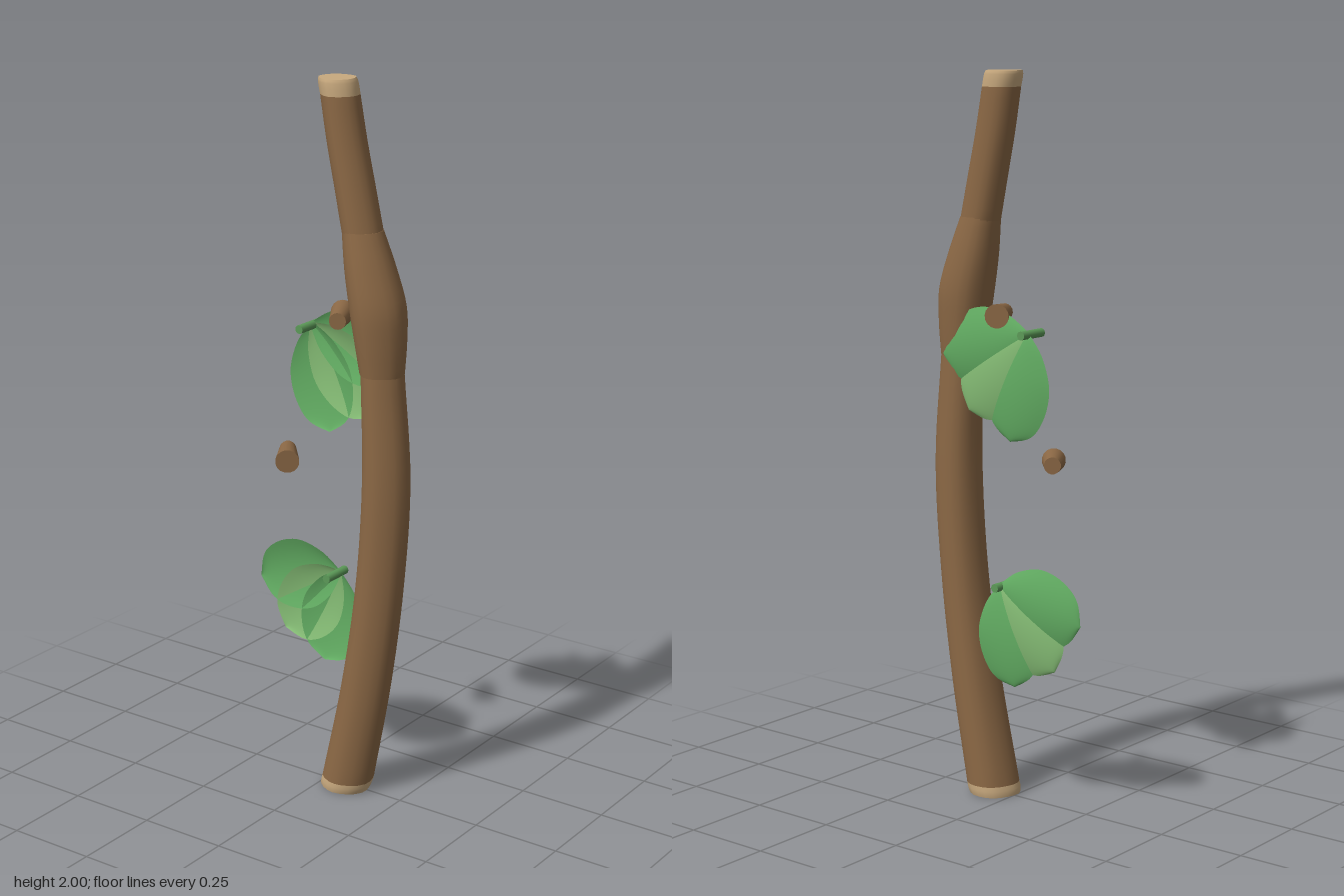
import * as THREE from 'three';

const material = (color, side = THREE.FrontSide) => new THREE.MeshStandardMaterial({ color, side });
const bark = material(0x8b6845);
const wood = material(0xc8a97e);
const stemGreen = material(0x5c9a58);
const leafGreen = material(0x62ac62, THREE.DoubleSide);
const paleGreen = material(0x84bb74, THREE.DoubleSide);

function add(parent, name, geometry, mat) {
  const mesh = new THREE.Mesh(geometry, mat);
  mesh.name = name;
  parent.add(mesh);
  return mesh;
}

// Slightly uneven round section; rings are [y, centre x, radius], smoothed along y
function trunkSection(rings, steps) {
  const sides = 20;
  const path = new THREE.CatmullRomCurve3(rings.map(([y, x, r]) => new THREE.Vector3(x, y, r)));
  const geometry = new THREE.CylinderGeometry(1, 1, 1, sides, steps);
  const p = geometry.attributes.position;
  for (let i = 0; i < p.count; i++) {
    const c = path.getPoint(p.getY(i) + 0.5);
    const a = Math.atan2(p.getZ(i), p.getX(i));
    const r = Math.hypot(p.getX(i), p.getZ(i)) * c.z * (1 + 0.025 * Math.sin(3 * a + c.y * 2) + 0.018 * Math.sin(5 * a));
    p.setXYZ(i, c.x + r * Math.cos(a), c.y, r * Math.sin(a));
  }
  geometry.computeVertexNormals();
  // Share the normals across the wrap-around seam
  const n = geometry.attributes.normal;
  for (let j = 0; j <= steps; j++) {
    const a = j * (sides + 1), b = a + sides;
    const v = new THREE.Vector3().fromBufferAttribute(n, a).add(new THREE.Vector3().fromBufferAttribute(n, b)).normalize();
    n.setXYZ(a, v.x, v.y, v.z);
    n.setXYZ(b, v.x, v.y, v.z);
  }
  return geometry;
}

// Half widths of a leaf from its base to its tip
const leafOutline = new THREE.SplineCurve([
  [0, 0.012], [0.15, 0.06], [0.38, 0.097], [0.6, 0.102], [0.8, 0.085], [0.92, 0.055], [1, 0],
].map(([t, w]) => new THREE.Vector2(t, w)));

// Leaf lying in the xy plane, cupped towards the back
function leafGeometry(length) {
  const geometry = new THREE.PlaneGeometry(1, 1, 12, 24);
  const p = geometry.attributes.position;
  for (let i = 0; i < p.count; i++) {
    const s = p.getX(i) * 2;
    const o = leafOutline.getPoint(p.getY(i) + 0.5);
    const depth = 0.02 * (1 - s * s) * Math.pow(Math.max(0, Math.sin(Math.PI * o.x)), 0.6);
    p.setXYZ(i, s * Math.max(o.y, 0), o.x * length, -depth);
  }
  geometry.computeVertexNormals();
  return geometry;
}

// Fan of three leaves around a short stem
function leafFan(name, x, y, length, angles) {
  const fan = new THREE.Group();
  fan.name = name;
  fan.position.set(x, y, -0.052);
  angles.forEach((deg, i) => {
    const leaf = add(fan, `leaf${i + 1}`, leafGeometry(length), i === 1 ? paleGreen : leafGreen);
    leaf.rotation.z = THREE.MathUtils.degToRad(deg - 90);
  });
  const stem = add(fan, 'leafStem', new THREE.CylinderGeometry(0.012, 0.012, 0.09, 12), stemGreen);
  stem.rotation.x = Math.PI / 2;
  stem.position.z = 0.017;
  return fan;
}

// Tapered stub from its narrow end to its wide end
function twigStub(parent, name, from, to) {
  const a = new THREE.Vector3(...from), b = new THREE.Vector3(...to);
  const stub = add(parent, name, new THREE.CylinderGeometry(0.033, 0.023, a.distanceTo(b), 16), bark);
  stub.position.copy(a).add(b).multiplyScalar(0.5);
  stub.quaternion.setFromUnitVectors(new THREE.Vector3(0, 1, 0), b.sub(a).normalize());
}

export function createModel() {
  const model = new THREE.Group();
  model.name = 'leafyBranch';

  // Branch: long lower bow, swollen knot, slim upper length
  add(model, 'lowerBranch', trunkSection([
    [0.03, 0.077, 0.073], [0.33, 0.137, 0.069], [0.63, 0.178, 0.066], [0.93, 0.195, 0.065], [1.24, 0.179, 0.058],
  ], 24), bark);
  add(model, 'swollenKnot', trunkSection([
    [1.23, 0.178, 0.06], [1.32, 0.172, 0.07], [1.41, 0.162, 0.076], [1.51, 0.138, 0.069], [1.61, 0.113, 0.055],
  ], 16), bark);
  add(model, 'upperBranch', trunkSection([
    [1.6, 0.114, 0.055], [1.72, 0.088, 0.054], [1.84, 0.062, 0.053], [1.957, 0.041, 0.052],
  ], 12), bark);

  // Pale cut ends
  add(model, 'lowerCutEnd', trunkSection([[0, 0.069, 0.07], [0.012, 0.072, 0.073], [0.03, 0.077, 0.073]], 3), wood);
  add(model, 'upperCutEnd', trunkSection([[1.957, 0.041, 0.052], [1.99, 0.034, 0.052], [2, 0.032, 0.049]], 4), wood);

  // Foliage
  model.add(leafFan('lowerLeaves', 0.005, 0.61, 0.28, [194.5, 228.5, 260]));
  model.add(leafFan('upperLeaves', -0.085, 1.31, 0.3, [-79, -48, -15]));

  // Small side twigs
  twigStub(model, 'lowerTwigStub', [-0.14, 0.957, -0.012], [-0.082, 0.953, 0.07]);
  twigStub(model, 'upperTwigStub', [0.045, 1.355, 0.015], [0, 1.355, -0.075]);

  return model;
}
